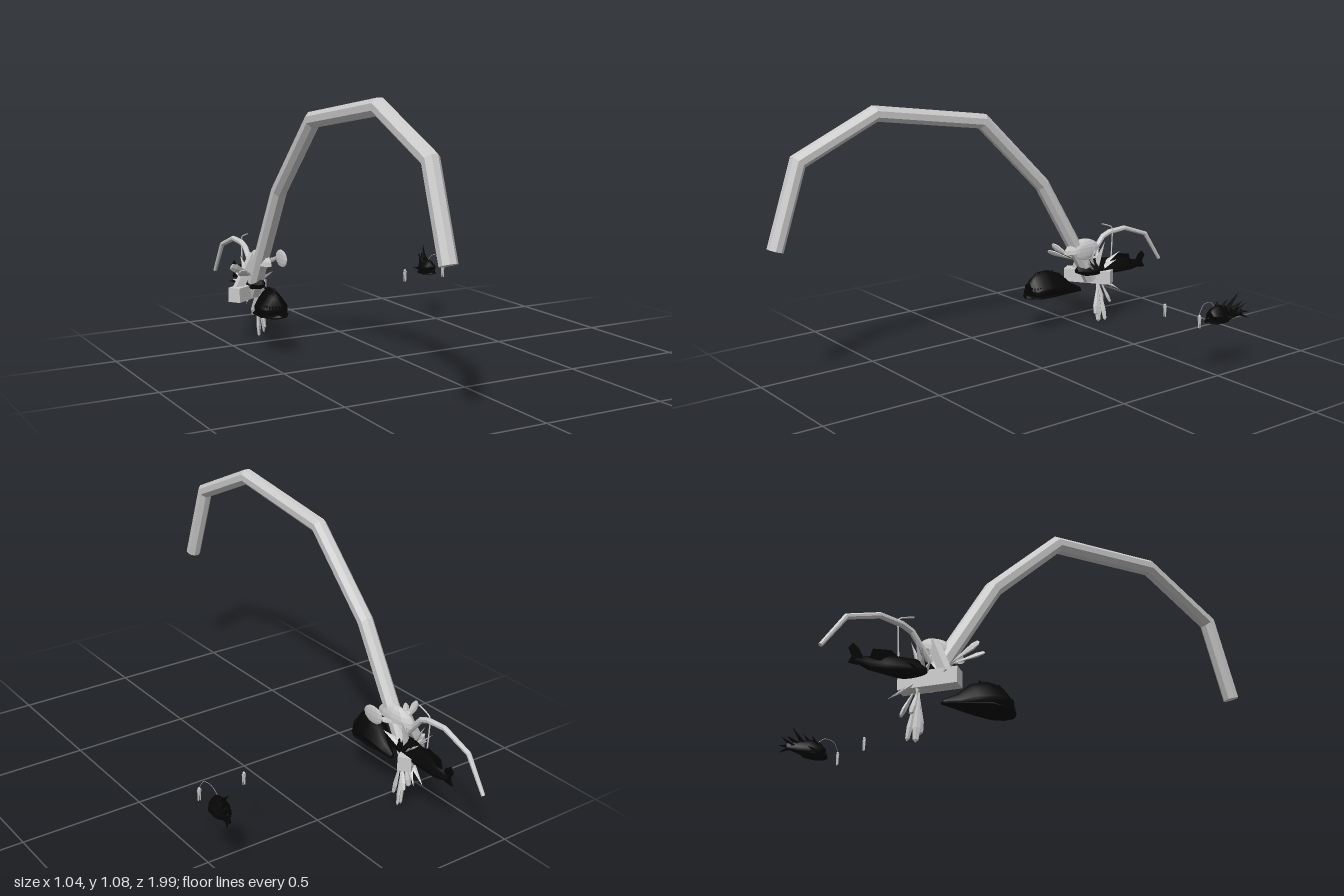
import * as THREE from 'three';

const flat = new THREE.MeshStandardMaterial({ color: 0xcccccc, flatShading: true, side: THREE.DoubleSide });
const smooth = new THREE.MeshStandardMaterial({ color: 0xcccccc, side: THREE.DoubleSide });
const black = new THREE.MeshStandardMaterial({ color: 0x050505, side: THREE.DoubleSide });
const V = (x, y, z) => new THREE.Vector3(x, y, z);

function add(parent, name, geometry, material = flat) {
  const m = new THREE.Mesh(geometry, material);
  m.name = name;
  parent.add(m);
  return m;
}

// Skin a list of closed rings and cap both ends.
function loft(rings) {
  const n = rings[0].length, pos = [], idx = [];
  rings.forEach(r => r.forEach(p => pos.push(p.x, p.y, p.z)));
  for (let i = 0; i < rings.length - 1; i++)
    for (let j = 0; j < n; j++) {
      const a = i * n + j, b = i * n + (j + 1) % n;
      idx.push(a, b, a + n, b, b + n, a + n);
    }
  const last = (rings.length - 1) * n;
  for (let j = 1; j < n - 1; j++) idx.push(0, j + 1, j, last, last + j, last + j + 1);
  const g = new THREE.BufferGeometry();
  g.setAttribute('position', new THREE.Float32BufferAttribute(pos, 3));
  g.setIndex(idx);
  g.computeVertexNormals();
  return g;
}

// Mitred octagonal pipe through [z, y, radius] points in the plane x.
function pipe(x, pts, sides = 8) {
  const dir = (a, b) => new THREE.Vector2(b[0] - a[0], b[1] - a[1]).normalize();
  return loft(pts.map((p, i) => {
    const d0 = dir(pts[Math.max(i - 1, 0)], i ? p : pts[1]);
    const d1 = i < pts.length - 1 ? dir(p, pts[i + 1]) : d0;
    const t = d0.clone().add(d1).normalize(), k = 1 / t.dot(d0);
    return Array.from({ length: sides }, (_, j) => {
      const a = (j + 0.5) / sides * Math.PI * 2, h = Math.sin(a) * p[2] * k;
      return V(x + Math.cos(a) * p[2], p[1] + t.x * h, p[0] - t.y * h);
    });
  }));
}

// Fish body from [z, x, bottom, top, half width] stations, tail first:
// flat belly below, sides rising to a ridge.
function body(stations, sides = 20) {
  return loft(stations.map(([z, x, lo, hi, w]) => Array.from({ length: sides }, (_, j) => {
    const a = j / sides * Math.PI * 2, s = Math.sin(a), c = Math.cos(a), mid = lo + (hi - lo) * 0.35;
    const y = s > 0 ? mid + (1 - Math.abs(c) ** 1.4) * (hi - mid) : mid - Math.sqrt(-s) * (mid - lo);
    return V(x + c * w, y, z);
  })));
}

// Flattened cone between two points.
function spike(parent, name, a, b, r, thin = 1, sides = 5, material = flat) {
  const d = b.clone().sub(a);
  const m = add(parent, name, new THREE.ConeGeometry(r, d.length(), sides), material);
  m.position.copy(a).add(b).multiplyScalar(0.5);
  m.quaternion.setFromUnitVectors(V(0, 1, 0), d.normalize());
  m.scale.z = thin;
}

// Vertical fin blade in the length of the fish.
function blade(parent, name, x, outline, lean = 0) {
  const shape = new THREE.Shape(outline.map(([z, y]) => new THREE.Vector2(-z, y)));
  const m = add(parent, name, new THREE.ExtrudeGeometry(shape, { depth: 0.006, bevelEnabled: false }), black);
  m.rotation.y = Math.PI / 2 + lean;
  m.position.x = x - 0.003;
}

// Paddle-shaped leaf between two points.
function leaf(parent, name, a, b, w, thin = 0.3) {
  const d = b.clone().sub(a), L = d.length();
  const prof = [[0, 0], [0.35, 0.25], [1, 0.75], [0.7, 0.95], [0, 1]];
  const m = add(parent, name, new THREE.LatheGeometry(prof.map(([r, t]) => new THREE.Vector2(r * w, t * L)), 6));
  m.position.copy(a);
  m.quaternion.setFromUnitVectors(V(0, 1, 0), d.normalize());
  m.scale.z = thin;
}

function teeth(parent, x, z, w, y, h, count) {
  for (let i = 0; i < count; i++) {
    const a = Math.PI * (i + 0.5) / count;
    const px = x + Math.cos(a) * w, pz = z + Math.sin(a) * w;
    spike(parent, 'lowerTooth', V(px, y, pz), V(px, y + h, pz), 0.004, 1, 4, black);
    spike(parent, 'upperTooth', V(px, y + h * 1.6, pz - 0.006), V(px, y + h * 0.6, pz - 0.006), 0.004, 1, 4, black);
  }
}

function figure(parent, x, y, z) {
  const g = new THREE.Group();
  g.name = 'smallFigure';
  add(g, 'head', new THREE.SphereGeometry(0.006, 8, 6), smooth).position.y = 0.049;
  const torso = add(g, 'torso', new THREE.CylinderGeometry(0.01, 0.007, 0.022, 6), smooth);
  torso.position.y = 0.034;
  torso.scale.z = 0.5;
  for (const s of [-1, 1])
    add(g, 'leg', new THREE.CylinderGeometry(0.0035, 0.0025, 0.026, 5), smooth).position.set(s * 0.004, 0.013, 0);
  g.position.set(x, y, z);
  parent.add(g);
}

export function createModel() {
  const root = new THREE.Group();
  const group = name => { const g = new THREE.Group(); g.name = name; root.add(g); return g; };

  // Great arching stalk and the thinner one behind it
  const R = 0.0325;
  add(root, 'greatStalk', pipe(-0.375, [[0.97, 0.578, R], [0.86, 0.903, R], [0.525, 1.055, R],
    [0.02, 0.98, R], [-0.29, 0.677, R], [-0.5, 0.33, R], [-0.57, 0.21, R]]));
  add(root, 'rearStalk', pipe(-0.375, [[-0.56, 0.3, 0.012], [-0.64, 0.395, 0.012], [-0.68, 0.41, 0.012],
    [-0.77, 0.416, 0.011], [-0.9, 0.37, 0.01], [-0.99, 0.238, 0.008]]));

  // Crossbar
  const bar = add(root, 'crossbar', new THREE.BoxGeometry(0.215, 0.06, 0.055));
  bar.position.set(-0.395, 0.22, -0.575);
  bar.rotation.y = 0.6;

  // Front fish: wide flat-bellied head with a tapering tail
  const a = group('frontFish');
  add(a, 'body', body([[-0.5, -0.365, 0.17, 0.184, 0.008], [-0.45, -0.375, 0.168, 0.212, 0.026],
    [-0.4, -0.39, 0.167, 0.26, 0.05], [-0.34, -0.405, 0.166, 0.28, 0.065], [-0.29, -0.407, 0.166, 0.278, 0.062],
    [-0.26, -0.407, 0.166, 0.26, 0.048], [-0.245, -0.407, 0.18, 0.24, 0.028]]), black);
  add(a, 'lowerJaw', body([[-0.5, -0.365, 0.166, 0.18, 0.01], [-0.36, -0.405, 0.166, 0.19, 0.064],
    [-0.28, -0.407, 0.166, 0.188, 0.062], [-0.24, -0.407, 0.166, 0.186, 0.038], [-0.225, -0.407, 0.168, 0.182, 0.012]]), black);
  teeth(a, -0.407, -0.275, 0.045, 0.183, 0.022, 11);
  for (let i = 0; i < 5; i++)
    spike(a, 'backSpine', V(-0.405, 0.268, -0.28 - i * 0.022), V(-0.405, 0.288 - i * 0.003, -0.29 - i * 0.022), 0.008, 0.5, 5, black);

  // Rear fish: slim, with a tall upright tail
  const b = group('rearFish');
  add(b, 'body', body([[-0.84, -0.34, 0.235, 0.26, 0.005], [-0.78, -0.336, 0.226, 0.275, 0.014],
    [-0.73, -0.346, 0.225, 0.292, 0.026], [-0.67, -0.36, 0.225, 0.296, 0.04], [-0.6, -0.37, 0.227, 0.302, 0.044],
    [-0.53, -0.37, 0.23, 0.298, 0.036], [-0.485, -0.37, 0.248, 0.275, 0.014]]), black);
  blade(b, 'tailFin', -0.341, [[-0.8, 0.24], [-0.83, 0.228], [-0.865, 0.226], [-0.85, 0.255], [-0.865, 0.28],
    [-0.85, 0.302], [-0.825, 0.285]]);
  blade(b, 'backFin', -0.355, [[-0.66, 0.285], [-0.71, 0.31], [-0.78, 0.295], [-0.79, 0.26], [-0.7, 0.26]]);
  for (const s of [-1, 1])
    spike(b, 'sideFin', V(-0.37 + s * 0.03, 0.25, -0.64), V(-0.37 + s * 0.065, 0.245, -0.695), 0.014, 0.4, 5, black);

  // Distant fish: round body, tall back spines, hanging lure
  const c = group('distantFish');
  add(c, 'body', body([[-0.63, 0.492, 0.24, 0.266, 0.006], [-0.59, 0.478, 0.23, 0.274, 0.017],
    [-0.56, 0.468, 0.222, 0.284, 0.03], [-0.53, 0.463, 0.221, 0.292, 0.038],
    [-0.5, 0.462, 0.234, 0.286, 0.034], [-0.485, 0.461, 0.244, 0.272, 0.022]]), black);
  add(c, 'lowerJaw', body([[-0.56, 0.465, 0.22, 0.236, 0.03], [-0.54, 0.461, 0.22, 0.236, 0.037],
    [-0.5, 0.46, 0.22, 0.235, 0.036], [-0.478, 0.46, 0.222, 0.233, 0.024], [-0.47, 0.46, 0.224, 0.23, 0.008]]), black);
  teeth(c, 0.46, -0.502, 0.027, 0.231, 0.014, 9);
  for (const [x, y, z, px, pz] of [[0.477, 0.314, -0.57, 0.464, -0.53], [0.496, 0.34, -0.61, 0.474, -0.565],
    [0.44, 0.3, -0.55, 0.45, -0.52], [0.5, 0.3, -0.63, 0.482, -0.59]])
    spike(c, 'backSpine', V(px, 0.265, pz), V(x, y, z), 0.014, 0.5, 5, black);
  for (const [x, y] of [[0.5, 0.29], [0.515, 0.255], [0.512, 0.224]])
    spike(c, 'tailFin', V(0.484, 0.252, -0.605), V(x, y, -0.655), 0.014, 0.4, 5, black);
  for (const s of [-1, 1])
    spike(c, 'sideFin', V(0.464 + s * 0.026, 0.243, -0.54), V(0.468 + s * 0.046, 0.243, -0.575), 0.014, 0.4, 5, black);
  const lure = new THREE.CatmullRomCurve3([V(0.462, 0.285, -0.51), V(0.466, 0.31, -0.48), V(0.472, 0.31, -0.435),
    V(0.475, 0.275, -0.41)]);
  add(c, 'lureStem', new THREE.TubeGeometry(lure, 12, 0.001, 4), smooth);
  figure(root, 0.477, 0.22, -0.41);
  figure(root, 0.281, 0.22, -0.41);

  // Tendrils and leaves hanging under the crossbar
  const hang = group('hangingTendrils');
  for (const [x0, x1, y1, z1, w] of [[-0.35, -0.34, 0.01, -0.59, 0.016], [-0.345, -0.31, 0.02, -0.605, 0.012],
    [-0.34, -0.325, 0.05, -0.56, 0.015], [-0.35, -0.352, 0.1, -0.62, 0.015], [-0.335, -0.31, 0.1, -0.635, 0.013]])
    leaf(hang, 'tendril', V(x0, 0.22, -0.585), V(x1, y1, z1), w, 0.6);
  for (const [x, y, z] of [[-0.3, 0.2, -0.63], [-0.385, 0.155, -0.62], [-0.31, 0.15, -0.69], [-0.35, 0.14, -0.7]])
    spike(hang, 'lowerShard', V(-0.36, 0.22, -0.6), V(x, y, z), 0.018, 0.4);

  // Leaves, cap and shards around the stalk foot
  const crown = group('crown');
  leaf(crown, 'paddleLeaf', V(-0.41, 0.305, -0.5), V(-0.52, 0.355, -0.46), 0.02);
  leaf(crown, 'paddleLeaf', V(-0.41, 0.3, -0.5), V(-0.5, 0.335, -0.42), 0.018);
  const pod = add(crown, 'uprightPod', new THREE.SphereGeometry(0.055, 10, 6));
  pod.scale.set(0.14, 0.68, 1);
  pod.position.set(-0.289, 0.367, -0.463);
  leaf(crown, 'podArm', V(-0.365, 0.33, -0.53), V(-0.292, 0.365, -0.5), 0.012);
  const cap = add(crown, 'cap', new THREE.SphereGeometry(0.1, 10, 5, 0, Math.PI * 2, 0, Math.PI / 2));
  cap.scale.set(0.3, 0.6, 1);
  cap.position.set(-0.365, 0.345, -0.51);
  const slab = add(crown, 'slantedSlab', new THREE.BoxGeometry(0.035, 0.17, 0.03));
  slab.position.set(-0.415, 0.305, -0.55);
  slab.rotation.z = -0.5;
  for (const [x, y, z] of [[-0.312, 0.39, -0.6], [-0.3, 0.3, -0.66], [-0.44, 0.31, -0.64], [-0.32, 0.33, -0.7],
    [-0.45, 0.27, -0.61], [-0.31, 0.31, -0.5], [-0.4, 0.36, -0.64], [-0.34, 0.37, -0.53]])
    spike(crown, 'shard', V(-0.37, 0.24, -0.585), V(x, y, z), 0.026, 0.35, 4);

  // Thin hooked wire
  const hook = new THREE.CatmullRomCurve3([V(-0.37, 0.455, -0.63), V(-0.37, 0.445, -0.66), V(-0.37, 0.43, -0.69),
    V(-0.37, 0.37, -0.692), V(-0.37, 0.29, -0.688)]);
  add(root, 'hookedWire', new THREE.TubeGeometry(hook, 16, 0.003, 5));
  return root;
}
